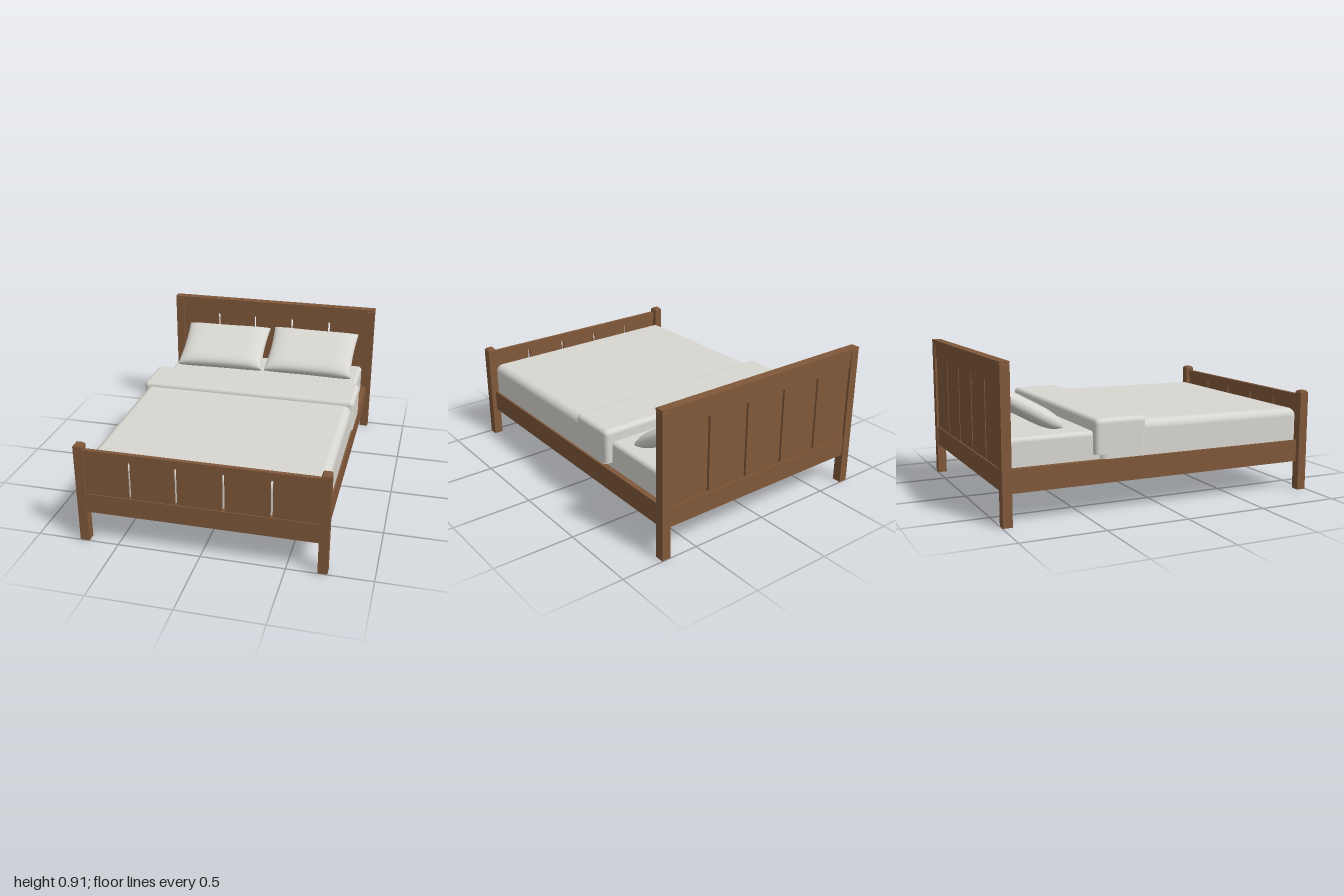
import * as THREE from 'three';
import { mergeVertices } from 'three/addons/utils/BufferGeometryUtils.js';
import { RoundedBoxGeometry } from 'three/addons/geometries/RoundedBoxGeometry.js';

const wood = new THREE.MeshStandardMaterial({ color: 0x80583a });
wood.name = 'brown wood';
const linen = new THREE.MeshStandardMaterial({ color: 0xd8d6d0 });
linen.name = 'off-white linen';

function add(parent, name, geometry, material) {
  const mesh = new THREE.Mesh(geometry, material);
  mesh.name = name;
  parent.add(mesh);
  return mesh;
}

// Box given by its limits on each axis
function box(parent, name, [x0, x1], [y0, y1], [z0, z1], material = wood) {
  const g = new THREE.BoxGeometry(x1 - x0, y1 - y0, z1 - z0);
  g.translate((x0 + x1) / 2, (y0 + y1) / 2, (z0 + z1) / 2);
  return add(parent, name, g, material);
}

// Square post with a chamfered top
function post(parent, name, x, z, height) {
  const size = 0.056, chamfer = 0.012;
  const h = size / 2;
  box(parent, name, [x - h, x + h], [0, height - chamfer], [z - h, z + h]);
  const g = new THREE.BoxGeometry(size, chamfer, size).toNonIndexed();
  const p = g.attributes.position;
  for (let i = 0; i < p.count; i++) {
    if (p.getY(i) > 0) p.setXYZ(i, p.getX(i) * 0.7, p.getY(i), p.getZ(i) * 0.7);
  }
  g.computeVertexNormals();
  g.translate(x, height - chamfer / 2, z);
  add(parent, name + 'Top', g, wood);
}

// Plank panel with four narrow gaps
function slottedPanel(parent, name, y0, y1, z0, z1) {
  const rect = (path, xa, xb) => path.moveTo(xa, y0).lineTo(xb, y0).lineTo(xb, y1).lineTo(xa, y1).closePath();
  const edges = [-0.685, -0.412, -0.138, 0.138, 0.412, 0.685];
  const gap = 0.007;
  const planks = [];
  for (let i = 0; i < 5; i++) {
    const s = new THREE.Shape();
    rect(s, edges[i] + (i ? gap : 0), edges[i + 1] - (i < 4 ? gap : 0));
    planks.push(s);
  }
  const g = new THREE.ExtrudeGeometry(planks, { depth: z1 - z0, bevelEnabled: false });
  g.translate(0, 0, z0);
  add(parent, name, g, wood);
}

// Soft block with rounded top and sides and a flat underside
function softBlock(parent, name, [x0, x1], [y0, y1], [z0, z1], r, slope = 0) {
  const h = y1 - y0 + r;
  const g = new RoundedBoxGeometry(x1 - x0, h, z1 - z0, 5, r);
  g.translate((x0 + x1) / 2, y1 - h / 2, (z0 + z1) / 2);
  const p = g.attributes.position;
  for (let i = 0; i < p.count; i++) {
    let y = Math.max(p.getY(i), y0);
    y -= slope * (p.getZ(i) - z0) * (y - y0) / (y1 - y0);
    p.setY(i, y);
  }
  return add(parent, name, g, linen);
}

// Cushion with bulging faces, thin edges and pointed corners
function pillow(parent, name, x, y, width, depth, yaw) {
  const box = new THREE.BoxGeometry(2, 2, 2, 24, 2, 18);
  box.deleteAttribute('normal');
  box.deleteAttribute('uv');
  const g = mergeVertices(box);
  const p = g.attributes.position;
  for (let i = 0; i < p.count; i++) {
    const u = Math.sin(p.getX(i) * Math.PI / 2), v = Math.sin(p.getZ(i) * Math.PI / 2);
    const puff = 0.12 + 0.88 * Math.sqrt(Math.max(0, (1 - u ** 6) * (1 - v ** 6)));
    p.setXYZ(i,
      u * width / 2 * (1 - 0.035 * (1 - v * v)),
      p.getY(i) * 0.055 * puff,
      v * depth / 2 * (1 - 0.035 * (1 - u * u)));
  }
  g.computeVertexNormals();
  const mesh = add(parent, name, g, linen);
  mesh.position.set(x, y, -0.775);
  mesh.rotation.set(0.51, yaw, 0);
}

export function createModel() {
  const bed = new THREE.Group();
  bed.name = 'bed';
  const part = (name) => {
    const group = new THREE.Group();
    group.name = name;
    bed.add(group);
    return group;
  };
  const inner = [-0.685, 0.685];

  // Headboard
  const head = part('headboard');
  for (const s of [-1, 1]) post(head, s > 0 ? 'leftPost' : 'rightPost', s * 0.709, -0.97, 0.9);
  slottedPanel(head, 'headPlanks', 0.315, 0.785, -0.984, -0.966);
  box(head, 'headLowerRail', inner, [0.195, 0.315], [-0.992, -0.958]);
  box(head, 'headUpperRail', inner, [0.785, 0.86], [-0.992, -0.96]);
  box(head, 'headTopRail', inner, [0.86, 0.893], [-0.995, -0.948]);
  box(head, 'headCap', [-0.738, 0.738], [0.893, 0.906], [-1, -0.942]);

  // Footboard
  const foot = part('footboard');
  for (const s of [-1, 1]) post(foot, s > 0 ? 'leftPost' : 'rightPost', s * 0.709, 0.97, 0.63);
  slottedPanel(foot, 'footPlanks', 0.315, 0.55, 0.972, 0.986);
  box(foot, 'footLowerRail', inner, [0.195, 0.315], [0.966, 0.992]);
  box(foot, 'footUpperRail', inner, [0.55, 0.6], [0.966, 0.992]);

  // Side rails with inner ledges, and the slats resting on them
  const frame = part('frame');
  for (const s of [-1, 1]) {
    const span = (a, b) => (s > 0 ? [a, b] : [-b, -a]);
    box(frame, 'sideRail', span(0.675, 0.708), [0.18, 0.315], [-0.945, 0.945]);
    box(frame, 'slatLedge', span(0.645, 0.675), [0.225, 0.262], [-0.945, 0.945]);
  }
  for (let i = 0; i < 8; i++) {
    const z = -0.84 + i * 0.24;
    box(frame, 'slat', [-0.673, 0.673], [0.262, 0.298], [z - 0.045, z + 0.045]);
  }

  // Bedding
  const bedding = part('bedding');
  softBlock(bedding, 'mattress', [-0.67, 0.67], [0.298, 0.477], [-0.95, 0.935], 0.025);
  softBlock(bedding, 'duvet', [-0.697, 0.697], [0.316, 0.526], [-0.4, 0.955], 0.05, 0.008);
  softBlock(bedding, 'duvetFold', [-0.712, 0.712], [0.347, 0.552], [-0.437, -0.118], 0.028);
  pillow(bedding, 'rightPillow', -0.32, 0.606, 0.61, 0.39, 0.015);
  pillow(bedding, 'leftPillow', 0.322, 0.615, 0.615, 0.4, -0.01);

  return bed;
}
